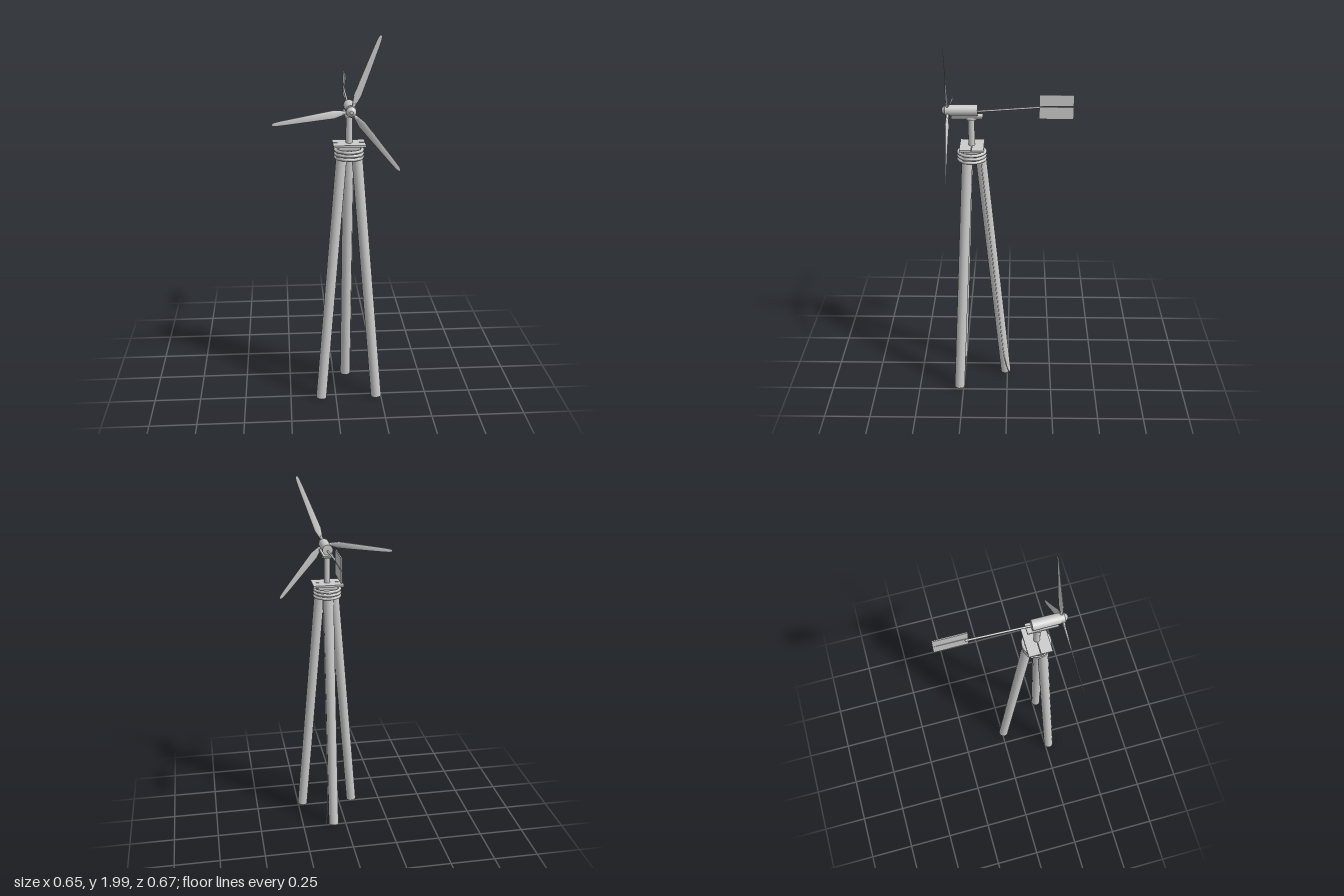
import * as THREE from 'three';

const CX = 0.071, CZ = 0.185; // tower axis
const HUB_Y = 1.625;

export function createModel() {
  const model = new THREE.Group();
  model.name = 'windTurbine';
  const grey = new THREE.MeshStandardMaterial({ color: 0xcccccc });
  grey.name = 'light grey';

  const add = (name, geometry, parent = model) => {
    const mesh = new THREE.Mesh(geometry, grey);
    mesh.name = name;
    parent.add(mesh);
    return mesh;
  };
  const box = (name, x0, x1, y0, y1, z0, z1) =>
    add(name, new THREE.BoxGeometry(x1 - x0, y1 - y0, z1 - z0))
      .position.set((x0 + x1) / 2, (y0 + y1) / 2, (z0 + z1) / 2);
  const rod = (name, a, b, r0, r1 = r0, sides = 16, parent = model) => {
    const dir = b.clone().sub(a);
    const mesh = add(name, new THREE.CylinderGeometry(r1, r0, dir.length(), sides), parent);
    mesh.position.copy(a).add(b).multiplyScalar(0.5);
    mesh.quaternion.setFromUnitVectors(new THREE.Vector3(0, 1, 0), dir.normalize());
    return mesh;
  };
  const v = (x, y, z) => new THREE.Vector3(x, y, z);

  // Tripod: one leg at the back, two towards the front
  for (let i = 0; i < 3; i++) {
    const a = -Math.PI / 2 + i * Math.PI * 2 / 3;
    const at = (r, y) => v(CX + Math.cos(a) * r, y, CZ + Math.sin(a) * r);
    rod('leg', at(0.176, 0.005), at(0.043, 1.405), 0.0285);
  }

  // Cable running down the back leg to the ground
  const cable = new THREE.CurvePath();
  const pts = [v(0.12, 0.004, -0.014), v(0.104, 0.125, 0.02), v(0.102, 1.37, 0.138)];
  for (let i = 0; i < 2; i++) cable.add(new THREE.LineCurve3(pts[i], pts[i + 1]));
  add('cable', new THREE.TubeGeometry(cable, 24, 0.0025, 6));

  // Clamp hoops round the leg tops
  for (const y of [1.363, 1.382, 1.401]) {
    const hoop = add('clampHoop', new THREE.TorusGeometry(0.07, 0.0085, 8, 32));
    hoop.rotation.x = Math.PI / 2;
    hoop.position.set(CX, y, CZ);
  }

  // Platform in two halves on a block
  box('platformBlock', CX - 0.055, CX + 0.055, 1.403, 1.426, CZ - 0.04, CZ + 0.04);
  box('platformBack', -0.013, 0.154, 1.426, 1.437, 0.121, 0.1825);
  box('platformFront', -0.013, 0.154, 1.426, 1.437, 0.1855, 0.247);

  // Mast and yaw bearing
  rod('mast', v(CX, 1.41, CZ), v(CX, 1.59, CZ), 0.017);
  rod('yawBearing', v(CX, 1.577, CZ), v(CX, 1.59, CZ), 0.029, 0.029, 24);

  // Generator housing on its base plate
  box('basePlate', CX - 0.0285, CX + 0.0285, 1.589, 1.599, 0.125, 0.285);
  rod('generator', v(CX, HUB_Y, 0.152), v(CX, HUB_Y, 0.295), 0.0285, 0.0285, 24);

  // Tail boom and split vane
  rod('tailBoom', v(CX, 1.619, 0.154), v(CX, 1.643, -0.18), 0.0055, 0.0055, 10);
  box('vaneUpper', 0.0765, 0.083, 1.6515, 1.711, -0.338, -0.162);
  box('vaneLower', 0.0765, 0.083, 1.583, 1.6475, -0.338, -0.162);

  // Rotor
  const rotor = new THREE.Group();
  rotor.name = 'rotor';
  rotor.position.set(CX, HUB_Y, 0.306);
  model.add(rotor);
  rod('hub', v(0, 0, -0.012), v(0, 0, 0.012), 0.026, 0.026, 20, rotor);
  rod('noseCone', v(0, 0, 0.012), v(0, 0, 0.029), 0.026, 0.009, 20, rotor);
  const blade = bladeGeometry();
  for (let i = 0; i < 3; i++) {
    const arm = new THREE.Group();
    arm.name = 'bladeArm';
    arm.rotation.z = THREE.MathUtils.degToRad(-21 + i * 120);
    rotor.add(arm);
    rod('bladeRoot', v(0, 0.015, 0), v(0, 0.045, 0), 0.0085, 0.0085, 10, arm);
    add('blade', blade, arm);
  }
  return model;
}

// Twisted, tapering blade along +y, lofted through lens-shaped sections
function bladeGeometry() {
  // radius, chord, thickness, twist
  const stations = [
    [0.03, 0.018, 0.012, 0.45], [0.05, 0.028, 0.011, 0.42], [0.085, 0.043, 0.009, 0.36],
    [0.16, 0.038, 0.007, 0.26], [0.25, 0.032, 0.005, 0.17], [0.34, 0.026, 0.004, 0.1],
    [0.38, 0.021, 0.003, 0.08], [0.393, 0.014, 0.002, 0.08], [0.398, 0.004, 0.001, 0.08],
  ];
  const N = 12, pos = [], idx = [];
  for (const [r, chord, thick, twist] of stations) {
    const c = Math.cos(twist), s = Math.sin(twist);
    for (let j = 0; j < N; j++) {
      const a = j / N * Math.PI * 2;
      const x = Math.cos(a) * chord / 2, z = Math.sin(a) * thick / 2;
      pos.push(x * c + z * s, r, -x * s + z * c);
    }
  }
  const last = (stations.length - 1) * N;
  for (let i = 0; i < stations.length - 1; i++) {
    for (let j = 0; j < N; j++) {
      const a = i * N + j, b = i * N + (j + 1) % N;
      idx.push(a, a + N, b, b, a + N, b + N);
    }
  }
  for (let j = 1; j < N - 1; j++) {
    idx.push(0, j, j + 1, last, last + j + 1, last + j);
  }
  const g = new THREE.BufferGeometry();
  g.setAttribute('position', new THREE.Float32BufferAttribute(pos, 3));
  g.setIndex(idx);
  g.computeVertexNormals();
  return g;
}
